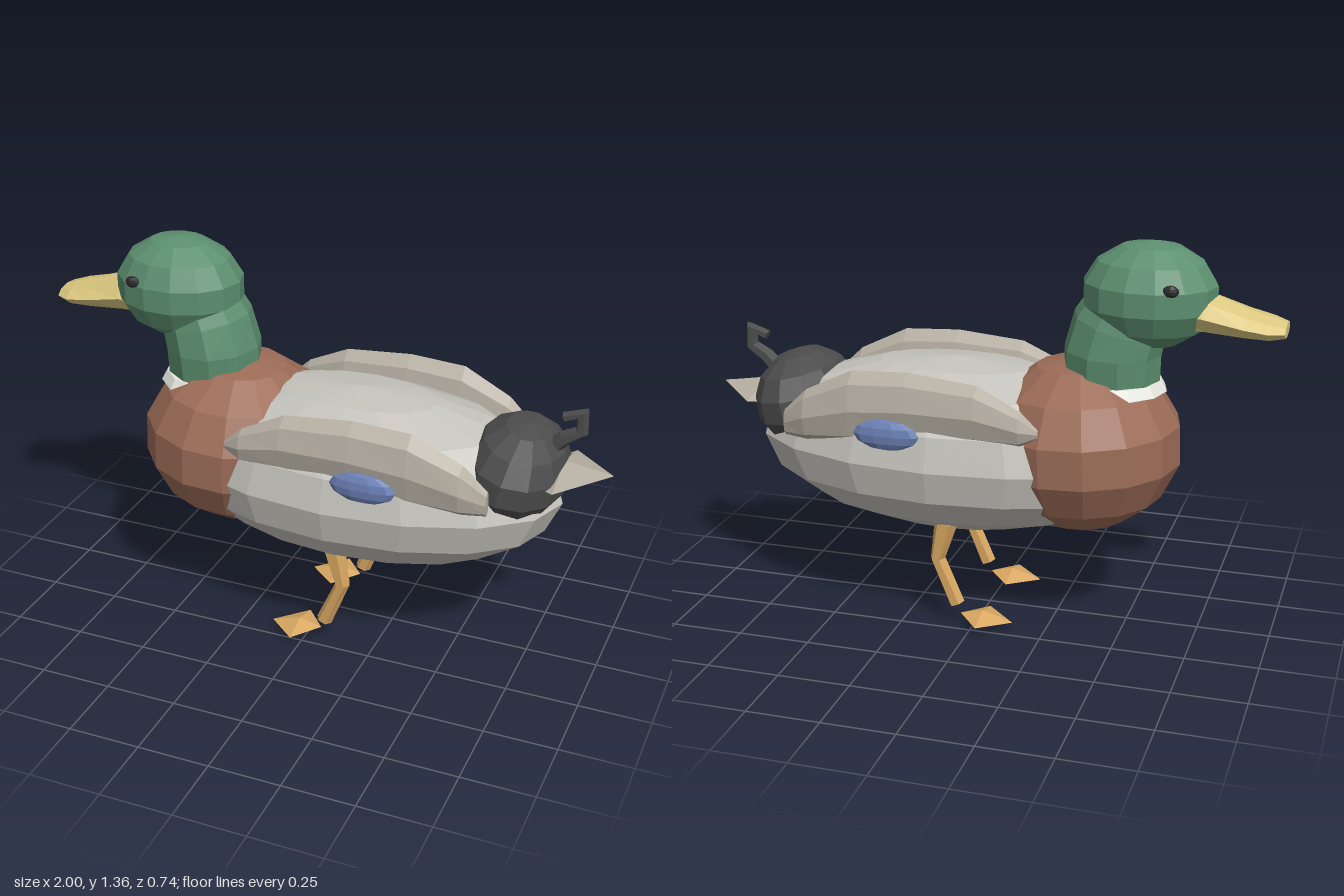
import * as THREE from 'three';

const flat = (color) => new THREE.MeshStandardMaterial({ color, flatShading: true });
const MAT = {
  green: flat(0x5c8f6f), brown: flat(0x9c6c57), body: flat(0xc4c2bb), wing: flat(0xb5aea2),
  dark: flat(0x4c4c4c), bill: flat(0xdcc880), leg: flat(0xd9a862), blue: flat(0x6b80b5),
  white: flat(0xe8e8e2), eye: flat(0x2c2c2c),
};

// Closed skin over elliptical rings [x, y, z, axis angle in the xy plane, in-plane radius, z radius]
function loft(rings, sides) {
  const pos = [], index = [];
  for (const [x, y, z, a, r, rz] of rings) {
    for (let j = 0; j < sides; j++) {
      const t = (j / sides) * Math.PI * 2, u = r * Math.cos(t);
      pos.push(x - Math.sin(a) * u, y + Math.cos(a) * u, z + rz * Math.sin(t));
    }
  }
  const last = rings.length - 1, start = rings.length * sides, end = start + 1;
  pos.push(...rings[0].slice(0, 3), ...rings[last].slice(0, 3));
  for (let j = 0; j < sides; j++) {
    const k = (j + 1) % sides;
    for (let i = 0; i < last; i++) {
      const a = i * sides, b = a + sides;
      index.push(a + j, a + k, b + k, a + j, b + k, b + j);
    }
    index.push(start, k, j, end, last * sides + j, last * sides + k);
  }
  const g = new THREE.BufferGeometry();
  g.setAttribute('position', new THREE.Float32BufferAttribute(pos, 3));
  g.setIndex(index);
  const out = g.toNonIndexed();
  out.computeVertexNormals();
  return out;
}

function ellipsoid(rx, ry, rz, w, h) {
  return new THREE.SphereGeometry(1, w, h).scale(rx, ry, rz);
}

export function createModel() {
  const model = new THREE.Group();
  const add = (name, geometry, material, x = 0, y = 0, z = 0, tilt = 0) => {
    const m = new THREE.Mesh(geometry, material);
    m.name = name;
    m.position.set(x, y, z);
    m.rotation.z = tilt;
    model.add(m);
    return m;
  };

  // Torso
  add('body', ellipsoid(0.72, 0.305, 0.372, 16, 8), MAT.body, 0.12, 0.61);
  add('breast', ellipsoid(0.345, 0.303, 0.338, 14, 7), MAT.brown, -0.33, 0.65, 0, -0.04);
  add('rump', ellipsoid(0.175, 0.175, 0.24, 12, 7), MAT.dark, 0.68, 0.72, 0, -0.2);

  // Collar, neck and head
  add('collar', new THREE.CylinderGeometry(0.165, 0.185, 0.035, 12), MAT.white, -0.43, 0.868);
  const up = Math.PI / 2;
  add('neck', loft([
    [-0.425, 0.87, 0, up, 0.165, 0.155],
    [-0.427, 0.98, 0, up + 0.05, 0.165, 0.167],
    [-0.45, 1.07, 0, up + 0.25, 0.16, 0.155],
    [-0.47, 1.13, 0, up + 0.3, 0.14, 0.14],
  ], 10), MAT.green);
  add('head', ellipsoid(0.23, 0.18, 0.19, 14, 7), MAT.green, -0.548, 1.18);

  // Bill, running toward -x
  add('bill', loft([
    [-0.66, 1.14, 0, Math.PI, 0.08, 0.1],
    [-0.74, 1.133, 0, Math.PI, 0.068, 0.108],
    [-0.87, 1.107, 0, Math.PI, 0.047, 0.104],
    [-0.95, 1.096, 0, Math.PI, 0.036, 0.1],
    [-1, 1.092, 0, Math.PI, 0.024, 0.07],
  ], 8), MAT.bill);

  // Tail wedge and curled feather
  add('tail', loft([
    [0.76, 0.715, 0, 0.12, 0.02, 0.1],
    [0.84, 0.73, 0, 0.12, 0.042, 0.165],
    [1, 0.747, 0, 0.12, 0.001, 0.001],
  ], 4), MAT.wing);
  add('tailCurl', loft([
    [0.77, 0.79, 0, 0.75, 0.03, 0.035],
    [0.83, 0.855, 0, 0.7, 0.026, 0.032],
    [0.885, 0.89, 0, 1.1, 0.024, 0.028],
    [0.885, 0.953, 0, 2.4, 0.027, 0.026],
    [0.825, 0.93, 0, 3.5, 0.018, 0.022],
  ], 6), MAT.dark);

  // Mirrored parts
  for (const [side, s] of [['left', 1], ['right', -1]]) {
    add(side + 'Eye', ellipsoid(0.027, 0.02, 0.016, 8, 6), MAT.eye, -0.645, 1.232, s * 0.163);

    add(side + 'Wing', loft([
      [-0.25, 0.76, s * 0.3, 0, 0.015, 0.01],
      [-0.19, 0.77, s * 0.295, 0, 0.06, 0.04],
      [-0.04, 0.802, s * 0.285, 0, 0.1, 0.06],
      [0.2, 0.805, s * 0.28, 0, 0.12, 0.067],
      [0.4, 0.787, s * 0.277, 0, 0.128, 0.063],
      [0.57, 0.742, s * 0.268, 0, 0.09, 0.048],
      [0.655, 0.705, s * 0.26, 0, 0.045, 0.018],
    ], 8), MAT.wing);
    add(side + 'WingPatch', ellipsoid(0.115, 0.053, 0.025, 10, 6), MAT.blue, 0.258, 0.723, s * 0.345);

    add(side + 'Leg', loft([
      [0.063, 0.072, s * 0.19, 1.2, 0.028, 0.028],
      [0.132, 0.237, s * 0.19, 1.57, 0.026, 0.034],
      [0.1, 0.378, s * 0.19, 1.75, 0.042, 0.042],
    ], 6), MAT.leg);

    // Webbed foot: a flat diamond, longer at the toes
    add(side + 'Foot', loft([
      [-0.135, 0.022, s * 0.19, 0, 0.001, 0.001],
      [-0.03, 0.029, s * 0.19, 0, 0.026, 0.095],
      [0.05, 0.035, s * 0.19, 0, 0.001, 0.001],
    ], 4), MAT.leg);
  }
  return model;
}
